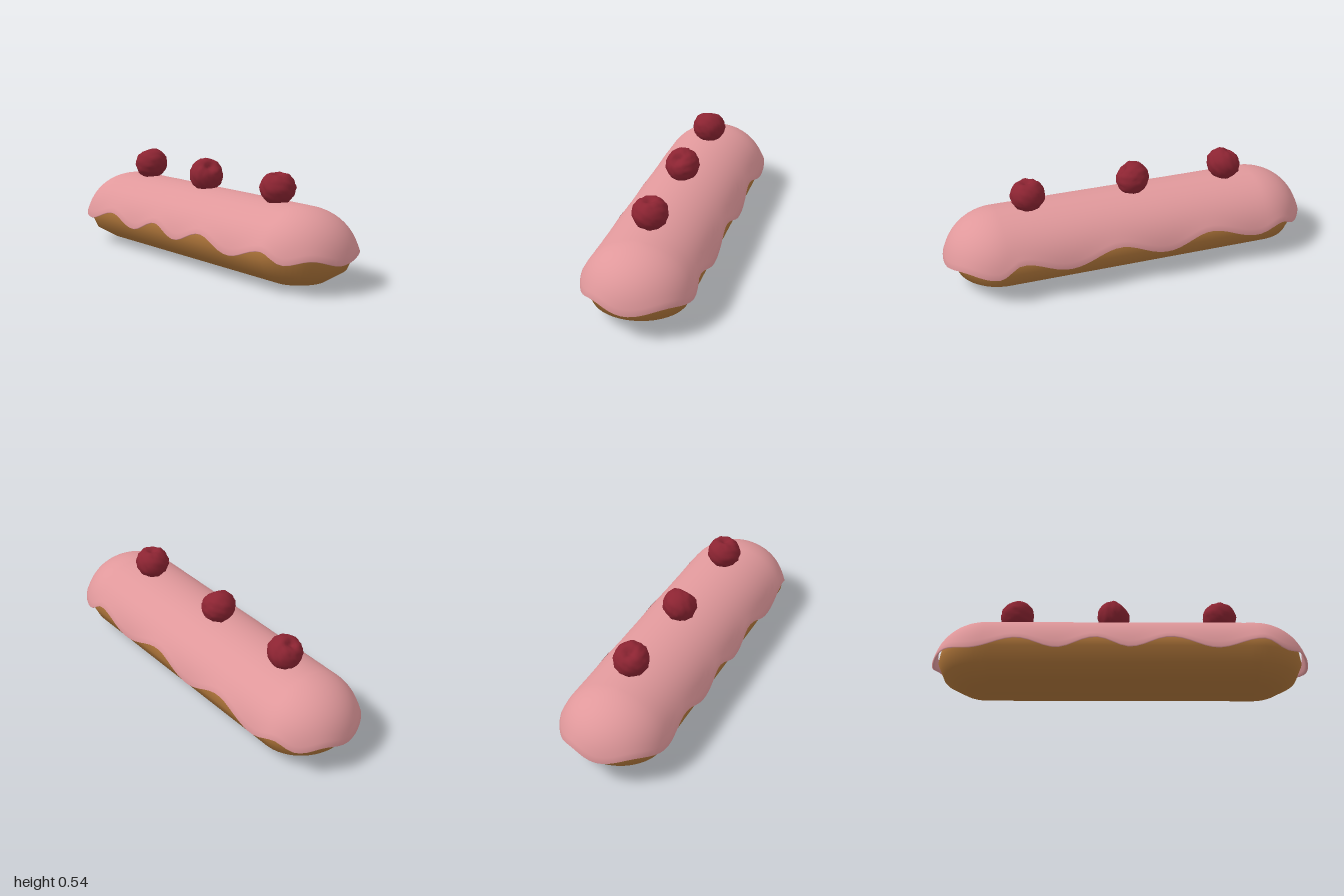
import * as THREE from 'three';
import { mergeVertices } from 'three/addons/utils/BufferGeometryUtils.js';

const HALF = 0.71; // half length of the straight spine
const CAP = 0.9; // length given to each rounded end
const LOOP = 4 * HALF + 2 * CAP;

// Samples round the plan outline: +x side, back end, -x side, front end
function outline() {
  const out = [], straight = 36, cap = 28;
  for (const end of [-1, 1]) {
    const base = end < 0 ? 0 : LOOP / 2;
    for (let i = 0; i < straight; i++) {
      const t = i / straight;
      out.push({ s: base + t * 2 * HALF, z: -end * HALF * (1 - 2 * t), c: -end, d: 0 });
    }
    for (let i = 0; i < cap; i++) {
      const t = i / cap;
      out.push({ s: base + 2 * HALF + t * CAP, z: end * HALF,
        c: -end * Math.cos(Math.PI * t), d: end * Math.sin(Math.PI * t) });
    }
  }
  return out;
}

// Skin of a rounded bar; profile(s) lists [x radius, z radius, y] from top to bottom
function skin(profile) {
  const ring = outline(), n = ring.length, pos = [], idx = [];
  const columns = ring.map(p => profile(p.s));
  const rows = columns[0].length;
  for (let i = 0; i < rows; i++) ring.forEach((p, j) => {
    const [rx, rz, y] = columns[j][i];
    pos.push(p.c * rx, y, p.z + p.d * rz);
  });
  for (let i = 0; i < rows - 1; i++) for (let j = 0; j < n; j++) {
    const a = i * n + j, b = i * n + (j + 1) % n;
    idx.push(a, a + n, b, b, a + n, b + n);
  }
  const g = new THREE.BufferGeometry();
  g.setAttribute('position', new THREE.Float32BufferAttribute(pos, 3));
  g.setIndex(idx);
  const merged = mergeVertices(g, 1e-5);
  merged.computeVertexNormals();
  return merged;
}

// Icing hem: [distance round the outline, height]
const hem = [
  [0.06, 0.212], [0.31, 0.148], [0.58, 0.216], [0.84, 0.148], [1.09, 0.216], [1.36, 0.15],
  [1.51, 0.19], [1.63, 0.15], [1.76, 0.172], [1.9, 0.146], [2.08, 0.175], [2.26, 0.148],
  [2.49, 0.205], [2.7, 0.148], [2.9, 0.21], [3.08, 0.152], [3.29, 0.213], [3.53, 0.148],
  [3.77, 0.205], [3.9, 0.155], [4.03, 0.177], [4.2, 0.143], [4.4, 0.172], [4.57, 0.149]];

function hemHeight(s) {
  if (s < hem[0][0]) s += LOOP;
  const keys = [...hem, [hem[0][0] + LOOP, hem[0][1]]];
  const i = Math.max(1, keys.findIndex(k => k[0] >= s));
  const [s0, y0] = keys[i - 1], [s1, y1] = keys[i];
  const t = (1 - Math.cos(Math.PI * (s - s0) / (s1 - s0))) / 2;
  return y0 + (y1 - y0) * t;
}

function icingProfile(s) {
  const hemY = hemHeight(s), end = Math.acos((hemY - 0.15) / 0.24), rows = [];
  for (let i = 0; i <= 12; i++) {
    const t = i / 12, a = t * end, flare = 0.011 * t ** 8;
    rows.push([0.284 * Math.sin(a) + flare, 0.279 * Math.sin(a) + flare, 0.15 + 0.24 * Math.cos(a)]);
  }
  // rolled lip and inner wall
  const [x, z, y] = rows[12];
  rows.push([x - 0.007, z - 0.007, y - 0.004], [x - 0.018, z - 0.018, y + 0.012], [x - 0.03, z - 0.03, y + 0.05]);
  return rows;
}

function pastryProfile() {
  const rows = [];
  for (let i = 0; i <= 9; i++) {
    const a = i < 6 ? i * Math.PI / 12 : Math.PI / 2 + (i - 6) * Math.PI / 6;
    const sin = i === 9 ? 0 : Math.sin(a), ry = a > Math.PI / 2 ? 0.158 : 0.212;
    rows.push([0.278 * sin, 0.255 * sin, 0.16 + ry * Math.cos(a)]);
  }
  return rows;
}

// Lumpy berry with a dimpled crown
function berryGeometry(seed) {
  const g = new THREE.SphereGeometry(1, 28, 20);
  g.deleteAttribute('uv');
  g.deleteAttribute('normal');
  const m = mergeVertices(g, 1e-4), p = m.attributes.position, v = new THREE.Vector3();
  for (let i = 0; i < p.count; i++) {
    v.fromBufferAttribute(p, i);
    const lumps = Math.sin(9 * v.x + seed) * Math.sin(9 * v.y + 2 * seed) * Math.sin(9 * v.z + 3 * seed);
    const r = Math.hypot(v.x, v.z);
    const dimple = v.y > 0 ? 0.32 * Math.exp(-r * r / 0.1) : 0;
    const k = 1 + 0.06 * lumps;
    p.setXYZ(i, v.x * k * 0.09, (v.y * k * 0.94 - dimple) * 0.09, v.z * k * 0.09);
  }
  m.computeVertexNormals();
  return m;
}

export function createModel() {
  const pastryMat = new THREE.MeshStandardMaterial({ color: 0xb0763a });
  pastryMat.name = 'golden pastry';
  const icingMat = new THREE.MeshStandardMaterial({ color: 0xe0989b });
  icingMat.name = 'pink icing';
  const berryMat = new THREE.MeshStandardMaterial({ color: 0x8c2432 });
  berryMat.name = 'berry red';

  const group = new THREE.Group();
  group.name = 'icedPastry';
  const add = (name, geometry, material) => {
    const mesh = new THREE.Mesh(geometry, material);
    mesh.name = name;
    group.add(mesh);
    return mesh;
  };
  add('pastry', skin(pastryProfile), pastryMat);
  add('icing', skin(icingProfile), icingMat);

  // Berries along the top: [x, y, z, tilt x, tilt z]
  [[0, 0.455, 0.54, 0.05, 0.05], [-0.005, 0.455, -0.035, 0.5, 0.35], [0, 0.46, -0.56, -0.3, -0.2]]
    .forEach(([x, y, z, tx, tz], i) => {
      const berry = add('berry' + (i + 1), berryGeometry(i * 1.7 + 0.6), berryMat);
      berry.position.set(x, y, z);
      berry.rotation.set(tx, i, tz);
    });
  return group;
}
